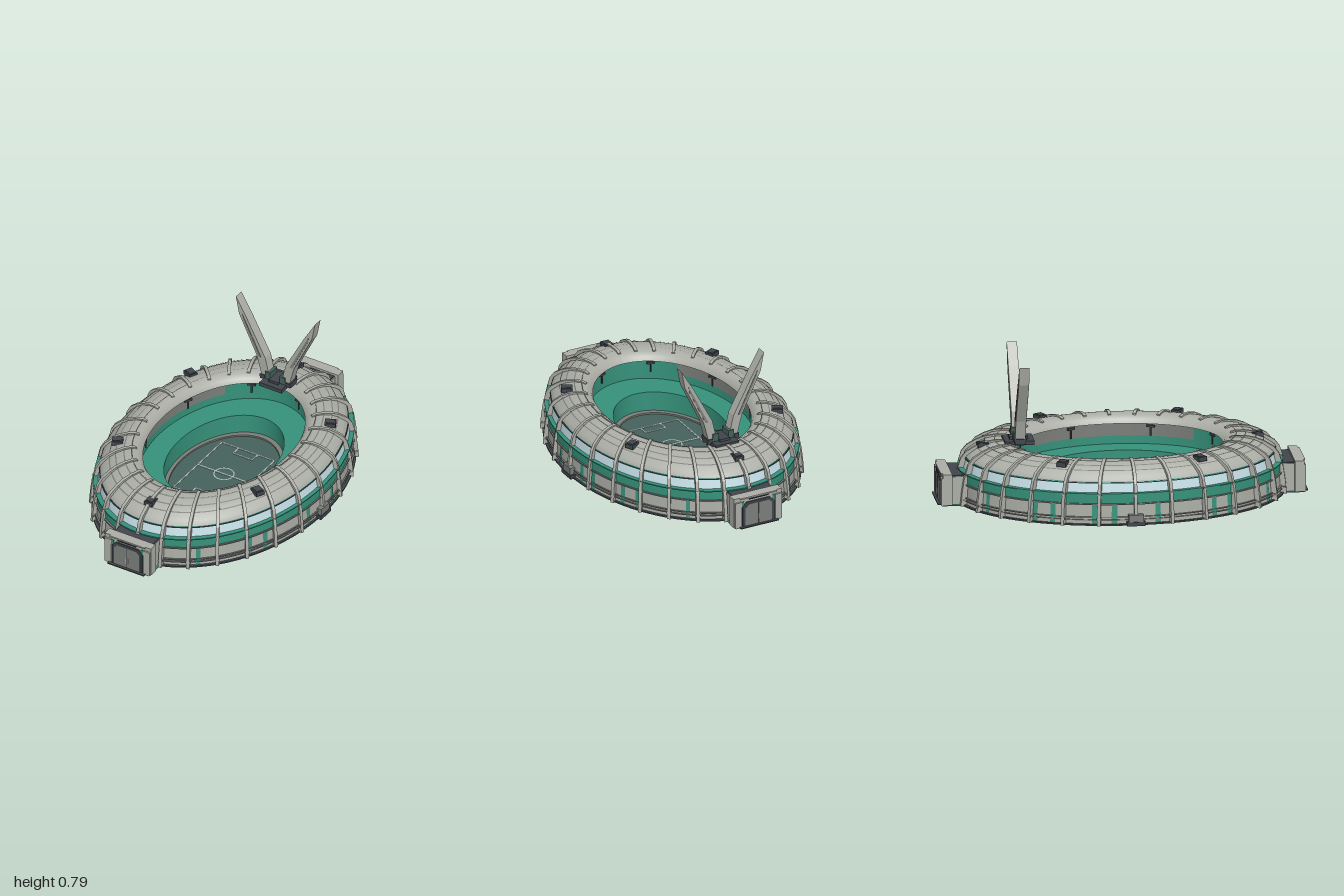
import * as THREE from 'three';

const mat = (name, color) => Object.assign(new THREE.MeshStandardMaterial({ color }), { name });

export function createModel() {
  const root = new THREE.Group();
  root.name = 'stadium';
  const concrete = mat('concrete', 0xabada6), green = mat('green', 0x36927b), glass = mat('glass', 0xc6dfe7);
  const dark = mat('dark metal', 0x40464d), steel = mat('steel grey', 0x7b7e79), pitch = mat('pitch green', 0x45625c);
  const line = mat('pale line', 0xbcc4be), ground = mat('base', 0x5a5a59);

  // Plan rule: every ring of half-width r along x has this half-length along z
  const SLOPE = 1.383;
  const rz = r => (r < 0.28 ? r * 0.412 / 0.28 : 0.55 + (r - 0.38) * SLOPE);

  const add = (name, geo, material, parent = root) => {
    const m = new THREE.Mesh(geo, material);
    m.name = name;
    parent.add(m);
    return m;
  };
  const box = (name, w, h, d, x, y, z, material, parent) => {
    const m = add(name, new THREE.BoxGeometry(w, h, d), material, parent);
    m.position.set(x, y, z);
    return m;
  };
  // Lathe stretched into the oval plan; profile is [r, y] pairs
  const ring = (name, profile, material, start = 0, length = Math.PI * 2, segs = 112) => {
    const geo = new THREE.LatheGeometry(profile.map(p => new THREE.Vector2(p[0], p[1])), segs, start, length);
    const p = geo.attributes.position;
    for (let i = 0; i < p.count; i++) {
      const r = Math.hypot(p.getX(i), p.getZ(i));
      if (r > 1e-6) p.setZ(i, p.getZ(i) / r * rz(r));
    }
    geo.computeVertexNormals();
    return add(name, geo, material);
  };
  // Square-edged ledge standing out from a wall
  const ledge = (name, r, y, out, h, material) => {
    ring(name + 'Under', [[r, y], [r + out, y]], material);
    ring(name + 'Edge', [[r + out, y], [r + out, y + h]], material);
    ring(name + 'Top', [[r + out, y + h], [r, y + h]], material);
  };
  const extrude = (pts, depth) => {
    const s = new THREE.Shape(pts.map(p => new THREE.Vector2(p[0], p[1])));
    return new THREE.ExtrudeGeometry(s, { depth, bevelEnabled: false }).translate(0, 0, -depth / 2);
  };

  // Underside
  ring('pitchUnderside', [[0, 0], [0.296, 0]], ground);
  ring('greenUnderside', [[0.296, 0], [0.386, 0]], green);
  ring('baseUnderside', [[0.386, 0], [0.625, 0]], ground);

  // Facade bands
  ring('basePlinth', [[0.625, 0], [0.625, 0.008]], dark);
  ring('plinthTop', [[0.625, 0.008], [0.61, 0.008]], dark);
  ring('lowerWall', [[0.613, 0.008], [0.608, 0.115]], concrete);
  ring('greenBand', [[0.61, 0.12], [0.61, 0.17]], green);
  ring('windowBand', [[0.594, 0.176], [0.585, 0.226]], glass);
  ring('greenTrim', [[0.586, 0.226], [0.58, 0.24]], green);
  ledge('lowerLedge', 0.605, 0.113, 0.012, 0.007, steel);
  ledge('windowSill', 0.588, 0.17, 0.028, 0.006, green);
  ledge('windowHead', 0.58, 0.225, 0.009, 0.004, dark);
  for (const y of [0.027, 0.042]) ledge('wallRail', 0.607, y, 0.012, 0.005, steel);

  // Rolled roof, its rim soffit and panel seams
  ring('roof', [[0.577, 0.234], [0.586, 0.236], [0.568, 0.255], [0.54, 0.281], [0.51, 0.3], [0.47, 0.312],
    [0.435, 0.314], [0.41, 0.306], [0.39, 0.29], [0.38, 0.268]], concrete);
  ring('rimSoffit', [[0.38, 0.268], [0.402, 0.262]], concrete);
  for (const [r, y] of [[0.54, 0.282], [0.51, 0.301], [0.47, 0.313], [0.435, 0.315]])
    ring('roofSeam', [[r + 0.0025, y], [r - 0.0025, y + 0.003]], steel);

  // Flat green terrace, its back wall and the sunken pitch
  ring('terraceWall', [[0.402, 0.262], [0.402, 0.15]], green);
  for (const s of [-1, 1])
    ring('terracePanel', [[0.4, 0.262], [0.4, 0.195]], steel, s * Math.PI / 2 - 0.85, 1.7, 48);
  ring('terrace', [[0.402, 0.15], [0.28, 0.15]], green);
  ring('pitWall', [[0.28, 0.15], [0.28, 0.03]], green);
  ring('pitchBorder', [[0.28, 0.04], [0.26, 0.04]], steel);
  ring('borderEdge', [[0.26, 0.04], [0.26, 0.03]], steel);
  ring('pitch', [[0.28, 0.031], [0, 0.031]], pitch);

  // Pitch markings
  const mark = (w, d, x, z) => box('pitchLine', w, 0.002, d, x, 0.033, z, line);
  const T = 0.006;
  mark(0.33, 0.009, 0, 0);
  for (const s of [-1, 1]) {
    mark(0.33, T, 0, s * 0.245);
    mark(T, 0.49, s * 0.165, 0);
    mark(0.12, T, 0, s * 0.19);
    for (const k of [-1, 1]) mark(T, 0.055, k * 0.06, s * 0.2175);
  }
  add('centreCircle', new THREE.RingGeometry(0.051, 0.057, 40).rotateX(-Math.PI / 2), line).position.y = 0.034;

  // Green panels on the lower wall
  for (const deg of [30, 53, 60, 82, 97.5, 104.5, 120, 127, 150])
    for (const s of [-1, 1]) {
      const w = 0.034;
      ring('wallPanel', [[0.616, 0.008], [0.611, 0.112]], green, s * deg * Math.PI / 180 - w / 2, w, 3);
    }

  // Local frame at angle t: x runs outward along the oval's section, starting at r = 0.38
  const section = (name, t) => {
    const dx = Math.sin(t), dz = SLOPE * Math.cos(t), g = new THREE.Group();
    g.name = name;
    g.position.set(0.38 * Math.sin(t), 0, 0.55 * Math.cos(t));
    g.rotation.y = Math.atan2(-dz, dx);
    g.userData.u = r => (r - 0.38) * Math.hypot(dx, dz);
    root.add(g);
    return g;
  };

  // Ribs over wall and roof
  const ribLine = [[0.636, 0], [0.63, 0.08], [0.622, 0.15], [0.606, 0.225], [0.585, 0.262], [0.548, 0.292],
    [0.513, 0.311], [0.47, 0.321], [0.43, 0.321], [0.412, 0.313], [0.412, 0.3], [0.435, 0.305], [0.47, 0.303],
    [0.51, 0.29], [0.54, 0.27], [0.575, 0.225], [0.595, 0.15], [0.605, 0]];
  for (let i = 0; i < 28; i++) {
    const g = section('rib', i * Math.PI / 14), u = g.userData.u;
    add('ribBeam', extrude(ribLine.map(([r, y]) => [u(r), y]), 0.018), concrete, g);
    box('ribClamp', 0.014, 0.01, 0.024, u(0.612), 0.172, 0, steel, g);
    box('ribClamp', 0.014, 0.01, 0.024, u(0.625), 0.036, 0, steel, g);
  }

  // Lamps under the roof rim
  for (let i = 0; i < 8; i++) {
    const g = section('rimLamp', (i + 0.5) * Math.PI / 4), u = g.userData.u;
    box('lampPole', 0.007, 0.05, 0.007, u(0.388), 0.225, 0, dark, g);
    box('lampBar', 0.012, 0.012, 0.045, u(0.388), 0.254, 0, dark, g);
  }

  // Roof equipment boxes
  for (const [x, z, y] of [[0.44, 0.37, 0.306], [-0.44, 0.37, 0.306], [0.44, -0.37, 0.306], [-0.44, -0.37, 0.306],
    [0, 0.74, 0.296], [0, -0.74, 0.296]]) {
    const g = new THREE.Group();
    g.name = 'roofUnit';
    g.position.set(x, y, z);
    g.rotation.y = x === 0 ? 0 : Math.sign(x * z) * 1.1;
    root.add(g);
    box('unitBody', 0.05, 0.025, 0.06, 0, 0, 0, dark, g);
    box('unitLid', 0.036, 0.006, 0.045, 0, 0.013, 0, dark, g);
  }

  // Main gates, front and back
  const arch = (w, h, c) => [[-w, 0.006], [w, 0.006], [w, h - c], [w - c, h], [c - w, h], [-w, h - c]];
  for (const turn of [0, Math.PI]) {
    const g = new THREE.Group();
    g.name = 'gate';
    g.rotation.y = turn;
    root.add(g);
    box('gateFloor', 0.27, 0.004, 0.12, 0, 0.002, 0.92, green, g);
    box('gateHall', 0.25, 0.155, 0.13, 0, 0.0825, 0.87, concrete, g);
    box('gateRoof', 0.24, 0.006, 0.11, 0, 0.163, 0.88, dark, g);
    box('gateFront', 0.29, 0.172, 0.05, 0, 0.092, 0.95, concrete, g);
    box('gateCrown', 0.22, 0.008, 0.04, 0, 0.174, 0.964, concrete, g);
    box('gateSlot', 0.115, 0.006, 0.006, 0, 0.167, 0.985, dark, g);
    box('gateStep', 0.23, 0.006, 0.06, 0, 0.006, 0.97, dark, g);
    for (const s of [-1, 1]) {
      box('gatePier', 0.04, 0.15, 0.012, s * 0.122, 0.08, 0.978, concrete, g);
      box('gateBadge', 0.02, 0.03, 0.006, s * 0.097, 0.138, 0.977, green, g);
      box('doorHandle', 0.003, 0.03, 0.004, s * 0.005, 0.053, 0.986, line, g);
    }
    add('doorFrame', extrude(arch(0.095, 0.148, 0.025), 0.008), dark, g).position.z = 0.979;
    add('door', extrude(arch(0.08, 0.136, 0.02), 0.004), steel, g).position.z = 0.984;
    box('doorGap', 0.002, 0.125, 0.002, 0, 0.07, 0.987, dark, g);
  }

  // Side entrances
  for (const s of [-1, 1]) {
    box('sideBase', 0.035, 0.022, 0.1, s * 0.625, 0.011, 0, dark);
    box('sideBlock', 0.03, 0.04, 0.08, s * 0.624, 0.04, 0, steel);
  }

  // Twin-blade tower on the rear roof
  const tower = new THREE.Group();
  tower.name = 'tower';
  tower.position.z = -0.55;
  root.add(tower);
  box('towerDeck', 0.14, 0.022, 0.16, 0, 0.315, 0, dark, tower);
  box('towerCrossDeck', 0.19, 0.018, 0.06, 0, 0.325, 0, dark, tower);
  box('towerHub', 0.06, 0.03, 0.1, 0, 0.325, 0, dark, tower);
  const blade = [[0.035, 0.33], [0.085, 0.33], [0.116, 0.45], [0.229, 0.685], [0.249, 0.789], [0.18, 0.672], [0.064, 0.453]];
  const inset = [[0.09, 0.45], [0.106, 0.45], [0.205, 0.66], [0.208, 0.69]];
  for (const s of [-1, 1]) {
    const side = pts => pts.map(([x, y]) => [s * x, y]);
    add('blade', extrude(side(blade), 0.056), concrete, tower);
    add('bladeInset', extrude(side(inset), 0.06), steel, tower);
    box('bladeFoot', 0.034, 0.042, 0.07, s * 0.046, 0.352, 0, pitch, tower);
    box('bladeHinge', 0.03, 0.014, 0.07, s * 0.08, 0.338, 0, dark, tower);
  }
  return root;
}
